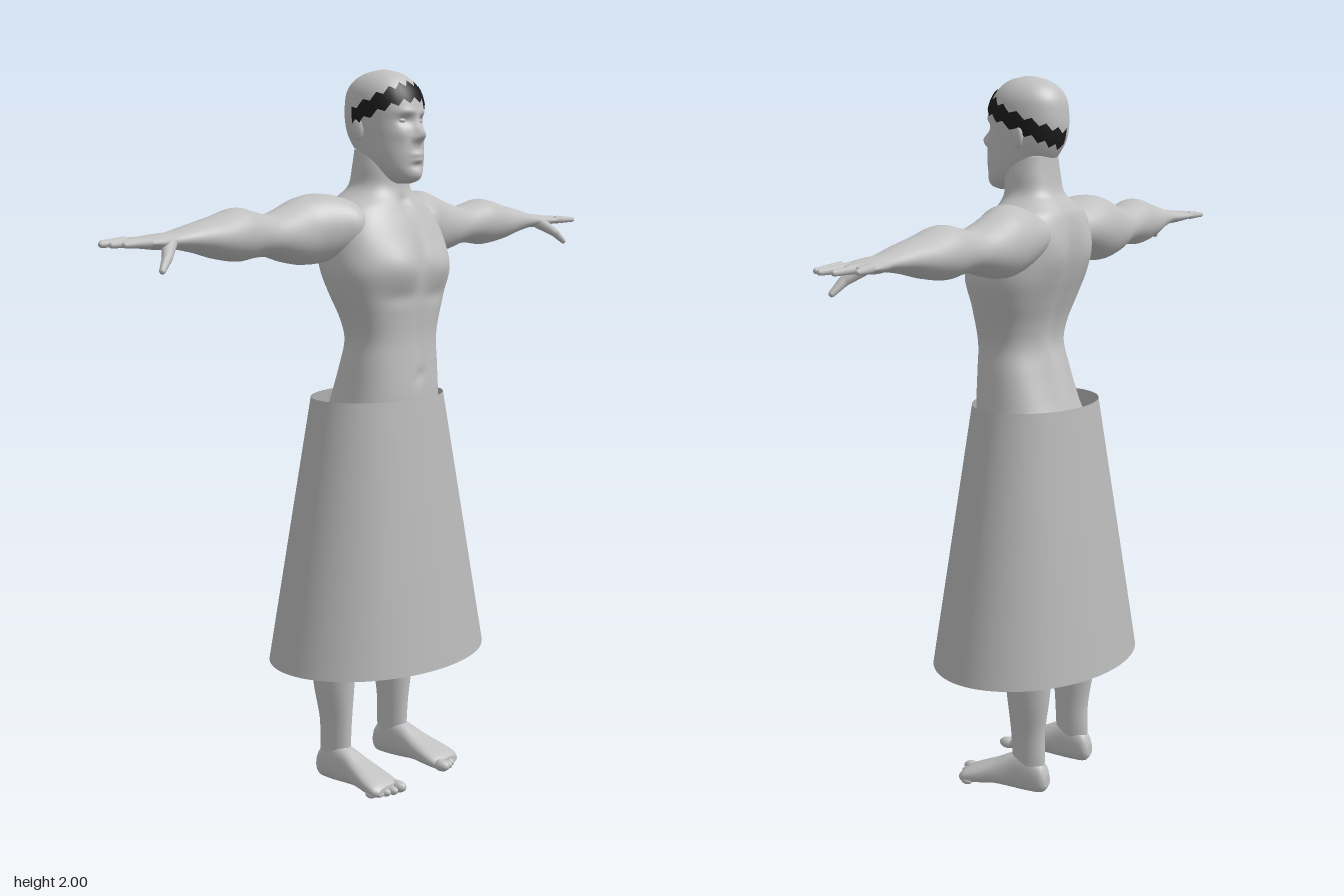
import * as THREE from 'three';
import { mergeGeometries } from 'three/addons/utils/BufferGeometryUtils.js';

// Section keys are [t, u0, u1, v0, v1]: position along the axis and extents across it.
// Smoothly interpolate between keys; s runs from 0 to keys.length - 1.
function section(keys, s) {
  const i = Math.min(Math.floor(s), keys.length - 2), f = s - i;
  const key = (n) => keys[Math.max(0, Math.min(keys.length - 1, n))];
  const [a, b, c, d] = [key(i - 1), key(i), key(i + 1), key(i + 2)];
  return b.map((_, n) => b[n] + 0.5 * f * (c[n] - a[n]
    + f * (2 * a[n] - 5 * b[n] + 4 * c[n] - d[n] + f * (3 * (b[n] - c[n]) + d[n] - a[n]))));
}

// Point on a superellipse section, returned as [u, v]
function rim([, u0, u1, v0, v1], angle, power, grow = 0) {
  const bend = (w) => Math.sign(w) * Math.abs(w) ** (2 / power);
  return [(u0 + u1) / 2 + ((u1 - u0) / 2 + grow) * bend(Math.cos(angle)),
    (v0 + v1) / 2 + ((v1 - v0) / 2 + grow) * bend(Math.sin(angle))];
}

function gridGeometry(points, rows, cols, closed) {
  const index = [], n = closed ? cols : cols - 1;
  for (let i = 0; i < rows - 1; i++) {
    for (let j = 0; j < n; j++) {
      const a = i * cols + j, c = i * cols + (j + 1) % cols;
      index.push(a, a + cols, c, a + cols, c + cols, c);
    }
  }
  const g = new THREE.BufferGeometry();
  g.setAttribute('position', new THREE.Float32BufferAttribute(points, 3));
  g.setIndex(index);
  g.computeVertexNormals();
  return g;
}

// Closed loft along axis 0 (x), 1 (y) or 2 (z).
// Bumps are [x, y, side, widthX, widthY, amount]: soft swellings on the front (1) or back (-1).
function loft(keys, axis, { power = 2, steps = 6, sides = 40, bumps = [] } = {}) {
  const points = [], count = (keys.length - 1) * steps;
  for (let i = -1; i <= count + 1; i++) {
    const k = section(keys, Math.max(0, Math.min(count, i)) / steps);
    const cap = i < 0 || i > count;
    for (let j = 0; j < sides; j++) {
      const angle = j / sides * Math.PI * 2;
      const [u, v] = cap ? [(k[1] + k[2]) / 2, (k[3] + k[4]) / 2] : rim(k, angle, power);
      const p = [0, 0, 0];
      p[axis] = k[0];
      p[(axis + 1) % 3] = v;
      p[(axis + 2) % 3] = u;
      let push = 0;
      for (const [x, y, side, wx, wy, amount] of bumps) {
        const facing = Math.max(0, side * Math.sin(angle));
        const dx = (Math.abs(p[0]) - x) / wx, dy = (p[1] - y) / wy;
        push += side * amount * facing * Math.exp(-dx * dx - dy * dy);
      }
      if (!cap) p[2] += push;
      points.push(...p);
    }
  }
  return gridGeometry(points, count + 3, sides, true);
}

// Tapered rod with a rounded tip, for fingers
function digit(from, to, r0, r1) {
  const a = new THREE.Vector3(...from), b = new THREE.Vector3(...to);
  const dir = b.clone().sub(a), len = dir.length();
  const g = mergeGeometries([
    new THREE.CylinderGeometry(r1, r0, len, 12, 1, true).translate(0, len / 2, 0),
    new THREE.SphereGeometry(r1, 12, 8).translate(0, len, 0),
    new THREE.SphereGeometry(r0, 12, 8),
  ]);
  g.applyQuaternion(new THREE.Quaternion().setFromUnitVectors(new THREE.Vector3(0, 1, 0), dir.normalize()));
  return g.translate(...from);
}

function mirrored(geometry) {
  const g = geometry.clone().scale(-1, 1, 1), a = g.index.array;
  for (let i = 0; i < a.length; i += 3) [a[i], a[i + 1]] = [a[i + 1], a[i]];
  return g;
}

export function createModel() {
  const model = new THREE.Group();
  const material = (name, color, side = THREE.FrontSide) => {
    const m = new THREE.MeshStandardMaterial({ color, side });
    m.name = name;
    return m;
  };
  const skin = material('skin grey', 0xc0c0c0);
  const cloth = material('cloth grey', 0xb8b8b8, THREE.DoubleSide);
  const black = material('band black', 0x1c1c1c, THREE.DoubleSide);
  const add = (name, geometry, mat = skin) => {
    const mesh = new THREE.Mesh(geometry, mat);
    mesh.name = name;
    model.add(mesh);
  };
  const addPair = (name, geometry) => {
    add('left' + name, geometry);
    add('right' + name, mirrored(geometry));
  };
  // Symmetric upright keys: [y, half width, back z, front z]
  const upright = (rows) => rows.map(([y, w, back, front]) => [y, -w, w, back, front]);

  // Torso and neck
  add('torso', loft(upright([
    [0.87, 0.13, -0.07, 0.06], [0.93, 0.172, -0.11, 0.1], [1.0, 0.18, -0.12, 0.125], [1.06, 0.174, -0.115, 0.146],
    [1.11, 0.166, -0.1, 0.152], [1.2, 0.157, -0.07, 0.148], [1.27, 0.151, -0.052, 0.145],
    [1.33, 0.166, -0.06, 0.148], [1.4, 0.195, -0.085, 0.156], [1.46, 0.214, -0.106, 0.163],
    [1.52, 0.212, -0.119, 0.153], [1.58, 0.2, -0.121, 0.13], [1.63, 0.17, -0.112, 0.104],
    [1.66, 0.118, -0.094, 0.088], [1.69, 0.088, -0.07, 0.08], [1.74, 0.08, -0.06, 0.08], [1.79, 0.07, -0.055, 0.07],
  ]), 1, { power: 2.35, sides: 72, bumps: [
    [0.085, 1.475, 1, 0.07, 0.05, 0.014], [0, 1.48, 1, 0.018, 0.08, -0.012],
    [0.08, 1.39, 1, 0.07, 0.02, -0.006], [0, 1.26, 1, 0.012, 0.1, -0.006],
    [0, 1.17, 1, 0.013, 0.013, -0.01], [0, 1.4, -1, 0.025, 0.2, -0.02],
    [0.09, 1.53, -1, 0.05, 0.07, 0.012], [0.05, 1.25, -1, 0.03, 0.09, 0.008],
    [0.085, 1.0, -1, 0.06, 0.06, 0.018], [0, 1.645, 1, 0.015, 0.018, -0.01],
  ] }));

  // Head with nose, eye sockets, brow, lips, chin and cheekbones
  const headKeys = upright([
    [1.695, 0.02, 0.07, 0.11], [1.705, 0.04, 0.035, 0.134], [1.73, 0.062, 0, 0.14],
    [1.77, 0.077, -0.045, 0.141], [1.82, 0.086, -0.08, 0.139], [1.86, 0.092, -0.09, 0.135],
    [1.9, 0.095, -0.09, 0.134], [1.94, 0.09, -0.083, 0.121], [1.97, 0.072, -0.062, 0.099],
    [1.99, 0.043, -0.028, 0.07], [2.0, 0.004, 0.015, 0.025],
  ]);
  add('head', loft(headKeys, 1, { power: 2.1, sides: 96, steps: 8, bumps: [
    [0, 1.825, 1, 0.014, 0.018, 0.024], [0, 1.85, 1, 0.011, 0.025, 0.01], [0.015, 1.816, 1, 0.009, 0.009, 0.008],
    [0.036, 1.862, 1, 0.02, 0.013, -0.013], [0.03, 1.885, 1, 0.03, 0.009, 0.005],
    [0, 1.772, 1, 0.024, 0.007, 0.008], [0, 1.757, 1, 0.02, 0.006, 0.007],
    [0, 1.742, 1, 0.025, 0.008, -0.006], [0, 1.72, 1, 0.025, 0.014, 0.005],
    [0.055, 1.825, 1, 0.02, 0.018, 0.005],
  ] }));
  addPair('Eye', new THREE.SphereGeometry(1, 16, 10).scale(0.014, 0.007, 0.01).translate(0.036, 1.862, 0.111));
  addPair('Ear', new THREE.SphereGeometry(1, 16, 12).scale(0.009, 0.03, 0.018).rotateY(-0.3).translate(0.091, 1.84, 0.005));

  // Zigzag band sloping down from the forehead to the back of the head
  const bandPoints = [], cols = 85, rows = 7;
  for (let i = 0; i < rows; i++) {
    for (let j = 0; j < cols; j++) {
      const angle = -Math.PI / 2 + j / (cols - 1) * (Math.PI * 1.5 + 0.3);
      const zigzag = 0.007 * (Math.abs(j % 6 - 3) / 1.5 - 1);
      const y = 1.886 + 0.053 * Math.sin(angle) + (i / (rows - 1) - 0.5) * 0.045 + zigzag;
      let s = 0;
      while (section(headKeys, s)[0] < y) s += 0.01;
      const [x, z] = rim(section(headKeys, s), angle, 2.1, 0.005);
      bandPoints.push(x, y, z);
    }
  }
  add('headband', gridGeometry(bandPoints, rows, cols, false), black);

  // Arms and palms
  addPair('Arm', loft([
    [0.08, -0.1, 0.06, 1.53, 1.635], [0.16, -0.122, 0.085, 1.5, 1.66], [0.22, -0.13, 0.062, 1.485, 1.67],
    [0.28, -0.129, 0.038, 1.482, 1.66], [0.35, -0.12, 0.034, 1.493, 1.636], [0.42, -0.105, 0.03, 1.51, 1.62],
    [0.48, -0.105, 0.034, 1.51, 1.63], [0.54, -0.108, 0.04, 1.504, 1.64], [0.62, -0.098, 0.04, 1.515, 1.622],
    [0.7, -0.08, 0.031, 1.534, 1.606], [0.78, -0.064, 0.02, 1.547, 1.589], [0.82, -0.066, 0.024, 1.546, 1.586],
    [0.87, -0.076, 0.029, 1.551, 1.581], [0.905, -0.076, 0.027, 1.555, 1.578], [0.92, -0.068, 0.02, 1.559, 1.574],
  ], 0));

  // Fingers and thumb
  const fingers = [[0.018, 0.972, 0.026], [-0.009, 0.992, 0.002], [-0.038, 0.99, -0.036], [-0.065, 0.952, -0.075]];
  addPair('Fingers', mergeGeometries(fingers.map(([z, tipX, tipZ]) =>
    digit([0.89, 1.568, z], [tipX, 1.566, tipZ], 0.0125, 0.0075))));
  addPair('Thumb', mergeGeometries([
    digit([0.81, 1.562, 0.005], [0.85, 1.53, 0.038], 0.02, 0.013),
    digit([0.85, 1.53, 0.038], [0.88, 1.502, 0.052], 0.013, 0.008),
  ]));

  // Legs
  addPair('Leg', loft([
    [0.05, 0.104, 0.162, -0.095, -0.005], [0.1, 0.1, 0.163, -0.1, 0], [0.18, 0.096, 0.168, -0.1, 0.004],
    [0.28, 0.086, 0.185, -0.114, 0.012], [0.37, 0.08, 0.193, -0.122, 0.02], [0.45, 0.075, 0.19, -0.115, 0.032],
    [0.53, 0.068, 0.18, -0.092, 0.046], [0.6, 0.055, 0.18, -0.086, 0.06], [0.72, 0.03, 0.188, -0.096, 0.085],
    [0.85, 0.008, 0.188, -0.11, 0.1], [0.96, 0.01, 0.172, -0.1, 0.1],
  ], 1));

  // Feet and toes
  addPair('Foot', loft([
    [-0.11, 0.02, 0.055, 0.115, 0.147], [-0.095, 0.003, 0.088, 0.104, 0.158], [-0.05, 0, 0.118, 0.1, 0.165],
    [0, 0.002, 0.105, 0.097, 0.17], [0.05, 0.006, 0.08, 0.09, 0.182], [0.1, 0.002, 0.058, 0.085, 0.195],
    [0.135, 0, 0.042, 0.086, 0.198], [0.152, 0.004, 0.03, 0.095, 0.185],
  ], 2, { power: 2.4 }));
  const toes = [[0.103, 0.155, 0.017], [0.129, 0.154, 0.0125], [0.151, 0.146, 0.012], [0.171, 0.136, 0.0115], [0.188, 0.124, 0.011]];
  addPair('Toes', mergeGeometries(toes.map(([x, z, r]) =>
    new THREE.SphereGeometry(r, 14, 10).scale(1, 1, 1.6).translate(x, r + 0.001, z))));

  // Open flared skirt
  add('skirt', new THREE.CylinderGeometry(0.163, 0.268, 0.74, 72, 1, true).scale(1.335, 1, 1).translate(0, 0.74, 0), cloth);

  return model;
}
